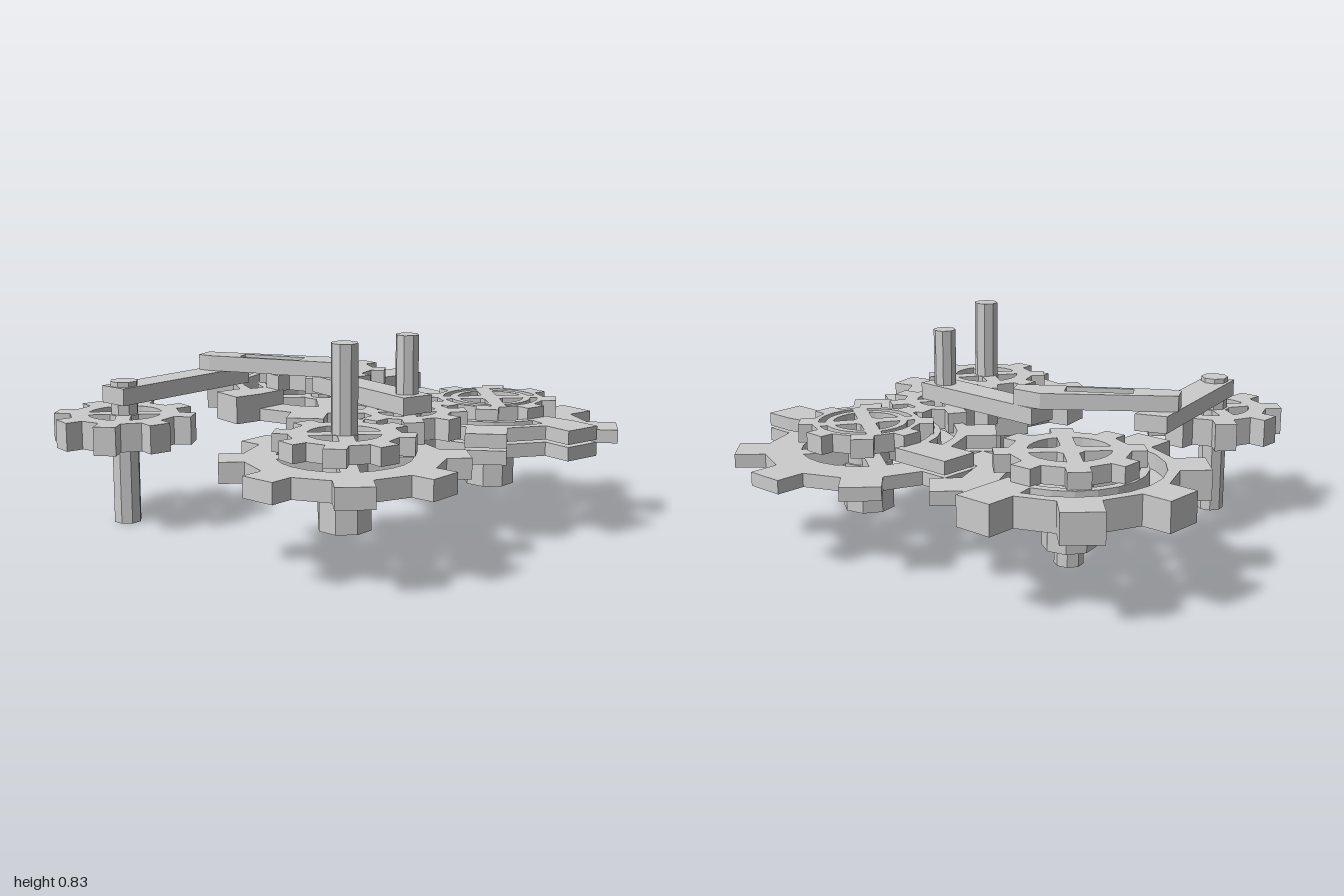
import * as THREE from 'three';

const D = Math.PI / 180;
const mat = new THREE.MeshStandardMaterial({ color: 0xcccccc, flatShading: true, side: THREE.DoubleSide });

// Point at radius r and angle a (degrees, turning from +x towards +z)
const polar = (r, a) => new THREE.Vector2(r * Math.cos(a * D), -r * Math.sin(a * D));
// Half angle covered by a bar of width w at radius r
const spread = (w, r) => Math.asin(w / 2 / r) / D;

function arc(r, from, to, steps) {
  return Array.from({ length: steps + 1 }, (_, i) => polar(r, from + (to - from) * i / steps));
}

// Four corners of one straight-sided tooth
function tooth(a, root, outer, w) {
  const r = spread(w, root), o = spread(w, outer);
  return [polar(root, a - r), polar(outer, a - o), polar(outer, a + o), polar(root, a + r)];
}

// Curved slot between two radii
function slot(r0, r1, from0, to0, from1, to1, steps) {
  return new THREE.Path([...arc(r1, from1, to1, steps), ...arc(r0, to0, from0, steps)]);
}

// Flat plate lying between heights y0 and y1
function plate(name, points, holes, y0, y1) {
  const shape = new THREE.Shape(points);
  shape.holes.push(...holes);
  const geo = new THREE.ExtrudeGeometry(shape, { depth: y1 - y0, bevelEnabled: false });
  geo.rotateX(-Math.PI / 2);
  const mesh = new THREE.Mesh(geo, mat);
  mesh.name = name;
  mesh.position.y = y0;
  return mesh;
}

// Spoked gear with 8 teeth; each window ring is cut by four spokes
function gear(name, o) {
  const points = [], holes = [];
  for (let i = 0; i < 8; i++) points.push(...tooth(o.turn + i * 45, o.root, o.outer, o.w));
  for (const [r0, r1] of o.windows) {
    const d0 = spread(o.spoke, r0), d1 = spread(o.spoke, r1);
    for (let q = 0; q < 4; q++) {
      const a = (o.spokeTurn ?? 45) + q * 90;
      holes.push(slot(r0, r1, a + d0, a + 90 - d0, a + d1, a + 90 - d1, 5));
    }
  }
  return plate(name, points, holes, o.y0, o.y1);
}

// Eight-sided shaft
function shaft(name, r, y0, y1) {
  const mesh = new THREE.Mesh(new THREE.CylinderGeometry(r, r, y1 - y0, 8), mat);
  mesh.geometry.rotateY(Math.PI / 8);
  mesh.name = name;
  mesh.position.y = (y0 + y1) / 2;
  return mesh;
}

// Raised half rim of five teeth with an arc groove
function halfRim(name, s, y0, y1) {
  const inner = 0.265, root = 0.41, outer = 0.53, w = 0.16;
  const points = [];
  for (let i = 0; i < 5; i++) points.push(...tooth(s + 12 + i * 45, root, outer, w));
  points.push(...arc(inner, s + 192 + spread(w, inner), s, 18));
  const groove = slot(0.3, 0.365, s + 21, s + 180, s + 21, s + 180, 10);
  return plate(name, points, [groove], y0, y1);
}

function assembly(name, x, z, parts) {
  const g = new THREE.Group();
  g.name = name;
  g.position.set(x, 0, z);
  g.add(...parts);
  return g;
}

export function createModel() {
  const model = new THREE.Group();
  const big = { root: 0.41, outer: 0.53, w: 0.16, turn: 12, windows: [[0.09, 0.265]], spoke: 0.07, y0: 0.335, y1: 0.39 };

  // Front right gear with tall pin
  model.add(assembly('pinGear', -0.505, 0.462, [
    gear('wheel', { ...big, root: 0.375, outer: 0.468, w: 0.142, turn: 0, windows: [[0.09, 0.255]], y1: 0.415 }),
    gear('upperWheel', { root: 0.21, outer: 0.268, w: 0.085, turn: 12, windows: [[0.055, 0.14]], spoke: 0.06, y0: 0.43, y1: 0.5 }),
    shaft('hub', 0.105, 0.14, 0.34),
    shaft('pin', 0.052, 0.34, 0.835),
  ]));

  // Front left gear with half rim
  model.add(assembly('frontGear', 0.43, 0.46, [
    gear('wheel', big),
    halfRim('halfRim', 90, 0.4, 0.455),
    gear('upperWheel', { root: 0.22, outer: 0.275, w: 0.09, turn: 13, windows: [[0.055, 0.135], [0.165, 0.195]], spoke: 0.06, y0: 0.425, y1: 0.5 }),
    shaft('hub', 0.105, 0.14, 0.34),
    shaft('collar', 0.052, 0.34, 0.5),
  ]));

  // Back left gear with half rim
  model.add(assembly('backGear', 0.43, -0.47, [
    gear('wheel', big),
    halfRim('halfRim', 180, 0.39, 0.455),
    gear('upperWheel', { root: 0.23, outer: 0.29, w: 0.09, turn: 10, windows: [[0.06, 0.16]], spoke: 0.06, spokeTurn: 55, y0: 0.45, y1: 0.52 }),
    shaft('hub', 0.105, 0.14, 0.34),
    shaft('axle', 0.057, 0.07, 0.52),
  ]));

  // Pinion between the front gears
  model.add(assembly('pinion', -0.025, 0.375, [
    gear('wheel', { root: 0.175, outer: 0.24, w: 0.08, turn: 0, windows: [[0.06, 0.12]], spoke: 0.05, y0: 0.415, y1: 0.5 }),
    shaft('pin', 0.047, 0.4, 0.805),
  ]));

  // Back right gear on a long shaft
  model.add(assembly('crankGear', -0.64, -0.605, [
    gear('wheel', { root: 0.222, outer: 0.29, w: 0.09, turn: 12, windows: [[0.065, 0.15]], spoke: 0.06, y0: 0.34, y1: 0.455 }),
    shaft('longShaft', 0.057, 0, 0.59),
  ]));

  // Linkage arms, given as x, z corners
  const corners = (list) => list.map(([x, z]) => new THREE.Vector2(x, -z));
  const slotHole = new THREE.Path(corners([[-0.098, -0.48], [-0.035, -0.505], [0.065, -0.25], [0, -0.225]]));
  model.add(
    plate('crankArm', corners([[-0.7, -0.67], [0, -0.67], [0.02, -0.54], [-0.7, -0.54]]), [], 0.5, 0.57),
    plate('slottedLink', corners([[-0.17, -0.655], [-0.085, -0.68], [0.15, -0.185], [0.135, -0.055], [0.06, -0.03], [-0.165, -0.6]]), [slotHole], 0.57, 0.635),
    plate('pinionArm', corners([[-0.115, 0.43], [0.035, -0.18], [0.155, -0.15], [0.015, 0.47]]), [], 0.5, 0.57),
  );
  return model;
}
